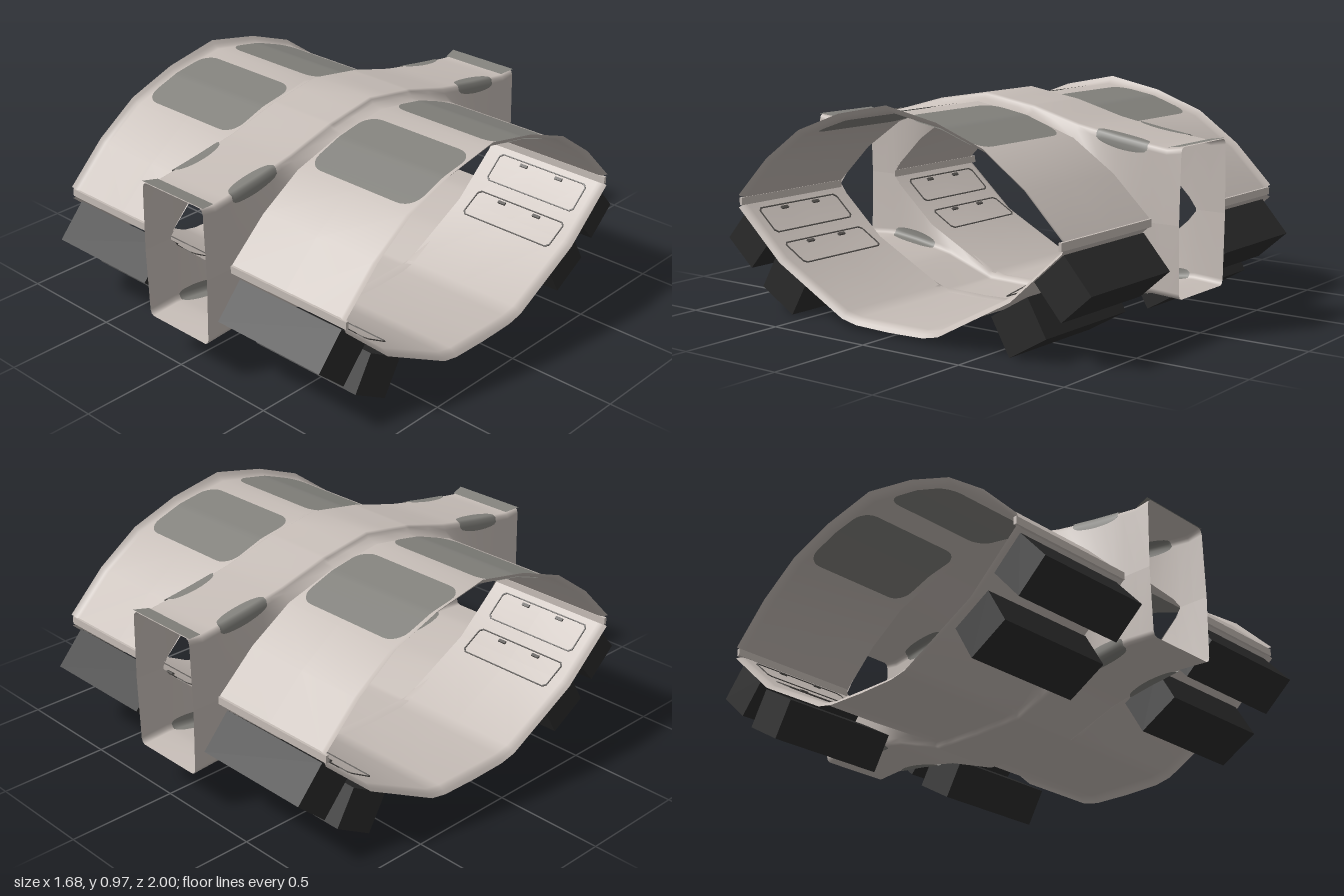
import * as THREE from 'three';

const mat = (name, color) => {
  const m = new THREE.MeshStandardMaterial({ color, side: THREE.DoubleSide });
  m.name = name;
  return m;
};

// Profiles as [distance from the middle along z, height]
const HULL_TOP = [[0, 0.936], [0.26, 0.89], [0.49, 0.81], [0.686, 0.675], [0.863, 0.5]];
const HULL_BOTTOM = [[0, 0.055], [0.18, 0.055], [0.26, 0.07], [0.62, 0.257], [0.863, 0.472]];
const TUBE_TOP = [[0, 0.972], [0.26, 0.93], [0.5, 0.865], [0.7, 0.83], [0.82, 0.812], [0.93, 0.797], [1, 0.807]];
const TUBE_BOTTOM = [[0, 0.032], [0.24, 0.038], [0.5, 0.13], [0.7, 0.165], [0.85, 0.185], [0.93, 0.18], [1, 0.175]];
const TIP = 0.863;

function heightAt(profile, z) {
  const a = Math.abs(z);
  for (let i = 1; i < profile.length; i++) {
    const [z0, y0] = profile[i - 1], [z1, y1] = profile[i];
    if (a <= z1) return y0 + (y1 - y0) * (a - z0) / (z1 - z0);
  }
  return profile[profile.length - 1][1];
}

// Surface through rows of points
function loft(rows) {
  const n = rows[0].length, index = [];
  for (let r = 0; r < rows.length - 1; r++) {
    for (let c = 0; c < n - 1; c++) {
      const a = r * n + c, b = a + n;
      index.push(a, b, a + 1, b, b + 1, a + 1);
    }
  }
  const g = new THREE.BufferGeometry();
  g.setAttribute('position', new THREE.Float32BufferAttribute(rows.flat(2), 3));
  g.setIndex(index);
  g.computeVertexNormals();
  return g;
}

const range = (a, b, n) => Array.from({ length: n + 1 }, (_, i) => a + (b - a) * i / n);
const mirrored = (zs) => [...zs.slice().reverse().map((z) => -z), ...zs.filter((z) => z > 0)];

export function createModel() {
  const model = new THREE.Group();
  const shell = mat('warm grey shell', 0xc6bdb7);
  const glass = mat('dark grey panel', 0x83827d);
  const black = mat('black locker', 0x2b2b2b);
  const line = mat('seam grey', 0x55524f);

  const add = (parent, name, geometry, material, x = 0, y = 0, z = 0) => {
    const m = new THREE.Mesh(geometry, material);
    m.name = name;
    m.position.set(x, y, z);
    parent.add(m);
    return m;
  };

  // Open-ended hull bays with a flared outer rim
  const flare = [[0.19, 0], [0.5, 0], [0.8, 0], [0.815, 0.007], [0.828, 0.018], [0.84, 0.034]];
  for (const s of [-1, 1]) {
    for (const [name, profile, d] of [['hullRoof', HULL_TOP, 1], ['hullFloor', HULL_BOTTOM, -1]]) {
      const zs = mirrored(profile.map((p) => p[0]));
      add(model, name, loft(zs.map((z) => flare.map(([x, f]) =>
        [s * x, heightAt(profile, z) + d * f * (1 - 0.6 * Math.abs(z) / TIP), z + f * 0.35 * z / TIP]))), shell);
    }
    for (const e of [-1, 1]) {
      add(model, 'hullTipRail', new THREE.BoxGeometry(0.645, 0.034, 0.014), shell, s * 0.515, 0.486, e * 0.864);
    }
  }

  // Rounded roof windows, faced inside and outside
  const [wx, wz, wr] = [0.285, 0.193, 0.075];
  const windowRows = [...range(0, 1, 6).map((t) => -wz + wr * (1 - Math.cos(t * Math.PI / 2))), ...range(-0.1, 0.1, 10),
    ...range(0, 1, 6).map((t) => wz - wr * (1 - Math.sin(t * Math.PI / 2)))];
  for (const sx of [-1, 1]) for (const sz of [-1, 1]) for (const e of [-0.004, 0.004]) {
    add(model, 'roofWindow', loft(windowRows.map((dz) => {
      const c = Math.max(0, Math.abs(dz) - (wz - wr));
      const half = wx - wr + Math.sqrt(Math.max(0, wr * wr - c * c));
      const z = sz * 0.263 + dz;
      const y = heightAt(HULL_TOP, z) + e;
      return [[sx * 0.515 - half, y, z], [sx * 0.515 + half, y, z]];
    })), glass);
  }

  // Cross tunnel: saddles over and under the hull that close into a tube at both ends
  const tunnelZ = mirrored([0, 0.12, 0.18, 0.24, 0.26, 0.38, 0.49, 0.56, 0.62, 0.686, 0.76, 0.82, TIP, 0.93, 1]);
  for (const [name, tube, hull, d] of [['tunnelRoof', TUBE_TOP, HULL_TOP, 1], ['tunnelFloor', TUBE_BOTTOM, HULL_BOTTOM, -1]]) {
    add(model, name, loft(tunnelZ.map((z) => {
      const a = Math.abs(z);
      const t = heightAt(tube, z);
      const foot = a >= TIP - 0.001 ? 0.486 : heightAt(hull, z);
      const w = 0.19 + 0.042 * Math.max(0, 1 - a / TIP);
      const half = [[w, foot], [0.182, t - d * 0.026], [0.176, t - d * 0.008], [0.163, t]];
      return [...half.map(([x, y]) => [-x, y, z]), ...half.reverse().map(([x, y]) => [x, y, z])];
    })), shell);

    // Oval dark panels wrapped over the tunnel shoulders
    for (const sx of [-1, 1]) for (const sz of [-1, 1]) for (const e of [-0.004, 0.004]) {
      add(model, 'shoulderPanel', loft(range(-1, 1, 20).map((u) => {
        const k = Math.sqrt(1 - u * u);
        const z = sz * (0.715 + 0.125 * u);
        const t = heightAt(tube, z);
        return [[0.163 - 0.04 * k, t + d * e], [0.163 + e / 2, t + d * e], [0.176 + e, t - d * 0.008 + d * e],
          [0.182 + e, t - d * 0.026], [0.183 + e, t - d * (0.026 + 0.025 * k)]].map(([x, y]) => [sx * x, y, z]);
      })), glass);
    }
  }

  // Dark strip on the top lip of each tunnel mouth
  for (const sz of [-1, 1]) {
    add(model, 'mouthStrip', loft([0.93, 1].map((z) => {
      const w = z < 1 ? 0.168 : 0.185;
      const y = heightAt(TUBE_TOP, z) + 0.004;
      return [[-w, y, sz * z], [w, y, sz * z]];
    })), glass);
  }

  // Thin rectangular seam around a hatch
  const seam = new THREE.Shape();
  const hole = new THREE.Path();
  for (const [p, x, y] of [[seam, 0.25, 0.075], [hole, 0.245, 0.07]]) {
    p.moveTo(-x + 0.015, -y).lineTo(x - 0.015, -y).lineTo(x, -y + 0.015).lineTo(x, y - 0.015);
    p.lineTo(x - 0.015, y).lineTo(-x + 0.015, y).lineTo(-x, y - 0.015).lineTo(-x, -y + 0.015).closePath();
  }
  seam.holes.push(hole);
  const seamGeometry = new THREE.ExtrudeGeometry(seam, { depth: 0.004, bevelEnabled: false }).rotateX(-Math.PI / 2);

  // Lockers below the hull, each with a hatch on the inside
  const lockers = [
    { y: 0.315, z: 0.851, size: [0.194, 0.186], tilt: 0.724, hatch: [0.398, 0.778] },
    { y: 0.132, z: 0.641, size: [0.18, 0.206], tilt: 0.525, hatch: [0.271, 0.612] },
  ];
  for (const turn of [0, Math.PI]) {
    const side = new THREE.Group();
    side.name = turn ? 'backLockers' : 'frontLockers';
    side.rotation.y = turn;
    model.add(side);
    for (const s of [-1, 1]) for (const l of lockers) {
      const box = add(side, 'locker', new THREE.BoxGeometry(0.57, ...l.size), black, s * 0.515, l.y, l.z);
      box.rotation.x = -l.tilt;
      const hatch = new THREE.Group();
      hatch.name = 'hatch';
      hatch.position.set(s * 0.515, ...l.hatch);
      hatch.rotation.x = -l.tilt;
      side.add(hatch);
      add(hatch, 'hatchSeam', seamGeometry, line);
      for (const h of [-0.1, 0.1]) {
        add(hatch, 'hatchHandle', new THREE.BoxGeometry(0.04, 0.008, 0.014), line, h, 0.004, 0.052);
      }
    }
  }
  return model;
}
